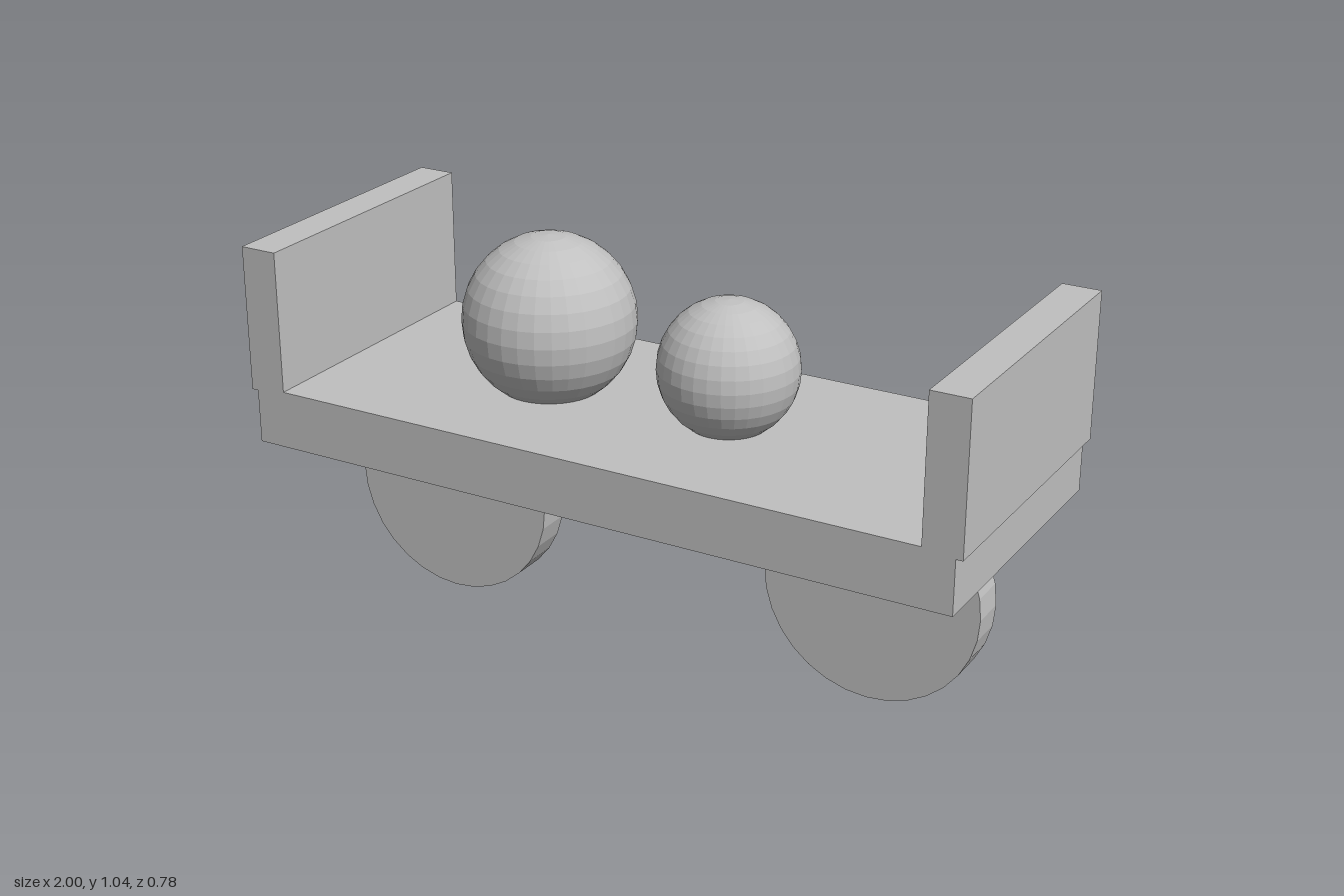
import * as THREE from 'three';

export function createModel() {
  const group = new THREE.Group();
  const grey = new THREE.MeshStandardMaterial({ color: 0xc0c0c0, flatShading: true });
  grey.name = 'light grey';

  const add = (name, geometry, x, y, z = 0) => {
    const mesh = new THREE.Mesh(geometry, grey);
    mesh.name = name;
    mesh.position.set(x, y, z);
    group.add(mesh);
    return mesh;
  };

  // flat bed and the beam joining the wheels
  add('bed', new THREE.BoxGeometry(1.964, 0.155, 0.784), 0, 0.557);
  add('wheelBeam', new THREE.BoxGeometry(1.566, 0.076, 0.13), 0, 0.373);

  // end boards and wheels, mirrored left and right
  for (const [side, s] of [['left', 1], ['right', -1]]) {
    add(side + 'EndBoard', new THREE.BoxGeometry(0.102, 0.39, 0.784), s * 0.949, 0.818);
    const wheel = new THREE.CylinderGeometry(0.293, 0.293, 0.096, 32).rotateX(Math.PI / 2);
    add(side + 'Wheel', wheel, s * 0.621, 0.293);
  }

  // round cargo resting on the bed
  add('largeBall', new THREE.SphereGeometry(0.227, 32, 16), -0.33, 0.818);
  add('smallBall', new THREE.SphereGeometry(0.181, 32, 16), 0.193, 0.786);

  return group;
}
